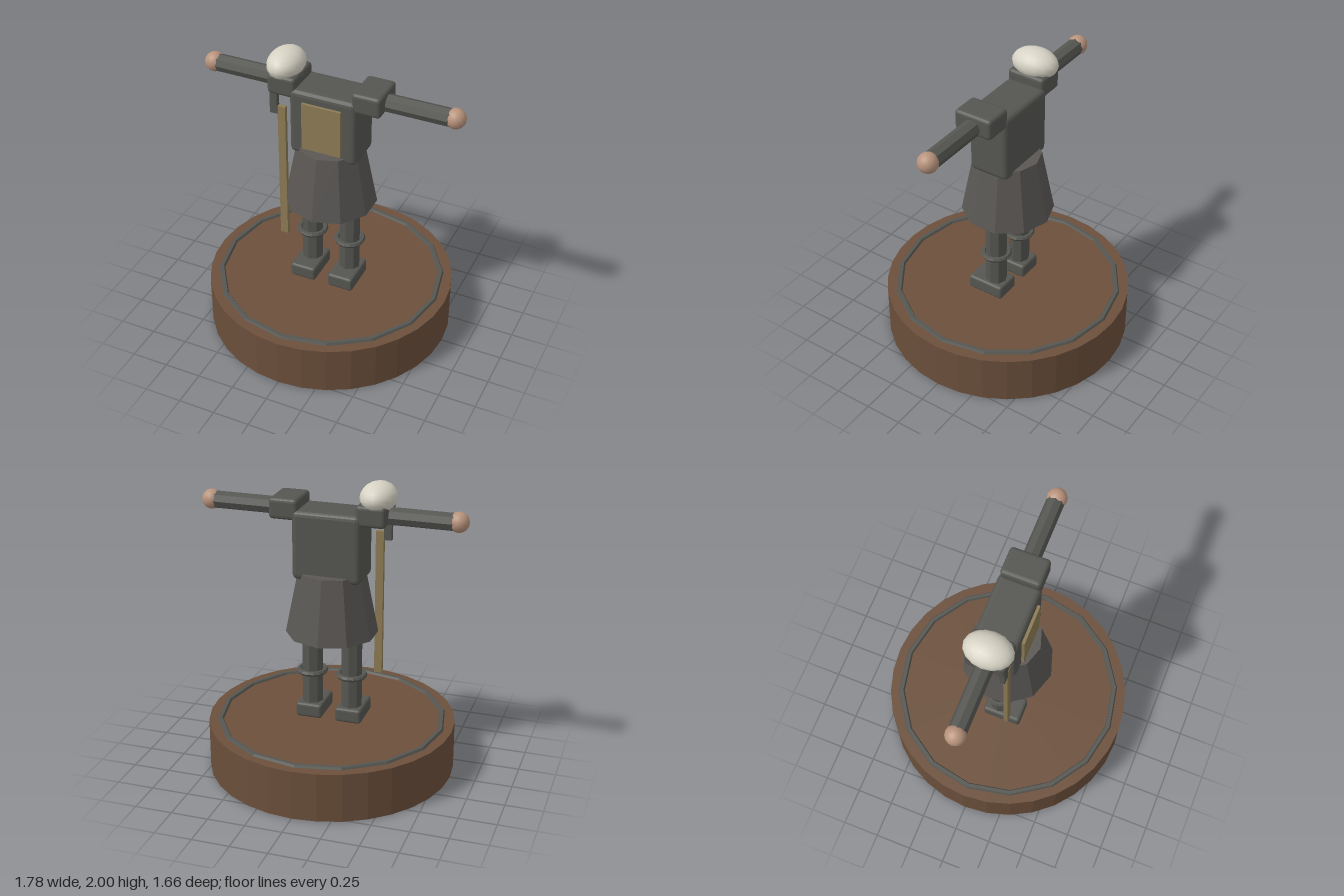
import * as THREE from 'three';
import { RoundedBoxGeometry } from 'three/addons/geometries/RoundedBoxGeometry.js';

function material(name, color, flatShading = false) {
  const m = new THREE.MeshStandardMaterial({ color, flatShading });
  m.name = name;
  return m;
}

export function createModel() {
  const group = new THREE.Group();
  const wood = material('brown wood', 0x6b4f3b, true);
  const iron = material('dark iron', 0x555551, true);
  const cloth = material('dark cloth', 0x5a5754, true);
  const tan = material('tan leather', 0x8c7a54, true);
  const skin = material('skin', 0xb8937c);
  const white = material('off white', 0xd6d2c4);

  const add = (name, geometry, mat, x, y, z) => {
    const mesh = new THREE.Mesh(geometry, mat);
    mesh.name = name;
    mesh.position.set(x, y, z);
    group.add(mesh);
    return mesh;
  };
  const rounded = (w, h, d, r) => new RoundedBoxGeometry(w, h, d, 2, r);

  // Round plinth with an inlaid ring
  add('plinth', new THREE.CylinderGeometry(0.83, 0.83, 0.335, 32), wood, 0, 0.1675, 0);
  add('plinthRing', new THREE.TorusGeometry(0.753, 0.023, 6, 16), iron, 0, 0.33, 0).rotation.x = -Math.PI / 2;

  // Mirrored limbs
  for (const [side, s] of [['left', 1], ['right', -1]]) {
    const x = 0.137 * s;
    add(side + 'Foot', rounded(0.18, 0.1, 0.265, 0.02), iron, x, 0.39, 0.037);
    add(side + 'Leg', new THREE.CylinderGeometry(0.072, 0.072, 0.65, 8), iron, x, 0.725, 0);
    add(side + 'KneeRing', new THREE.TorusGeometry(0.088, 0.018, 6, 16), iron, x, 0.66, 0).rotation.x = -Math.PI / 2;
    add(side + 'Arm', new THREE.CylinderGeometry(0.059, 0.059, 0.62, 8), iron, 0.5 * s, 1.785, 0).rotation.z = Math.PI / 2;
    add(side + 'Hand', new THREE.SphereGeometry(0.066, 16, 12), skin, 0.824 * s, 1.786, 0);
    add(side + 'ShoulderPad', rounded(0.195, 0.14, 0.267, 0.025), iron, 0.288 * s, 1.8, 0);
  }

  // Body
  add('skirt', new THREE.CylinderGeometry(0.22, 0.305, 0.43, 10), cloth, 0, 1.17, 0);
  add('torso', rounded(0.46, 0.46, 0.285, 0.035), iron, 0, 1.57, -0.002);
  add('chestPanel', new THREE.BoxGeometry(0.266, 0.33, 0.03), tan, 0, 1.565, 0.145);

  // White cap on the right shoulder with a strap and staff below it
  add('cap', new THREE.SphereGeometry(1, 16, 12), white, -0.308, 1.903, 0).scale.set(0.118, 0.097, 0.16);
  add('strap', new THREE.BoxGeometry(0.05, 0.2, 0.035), iron, -0.345, 1.69, 0.108);
  add('staff', new THREE.BoxGeometry(0.053, 0.99, 0.028), tan, -0.291, 1.15, 0.108);

  return group;
}
